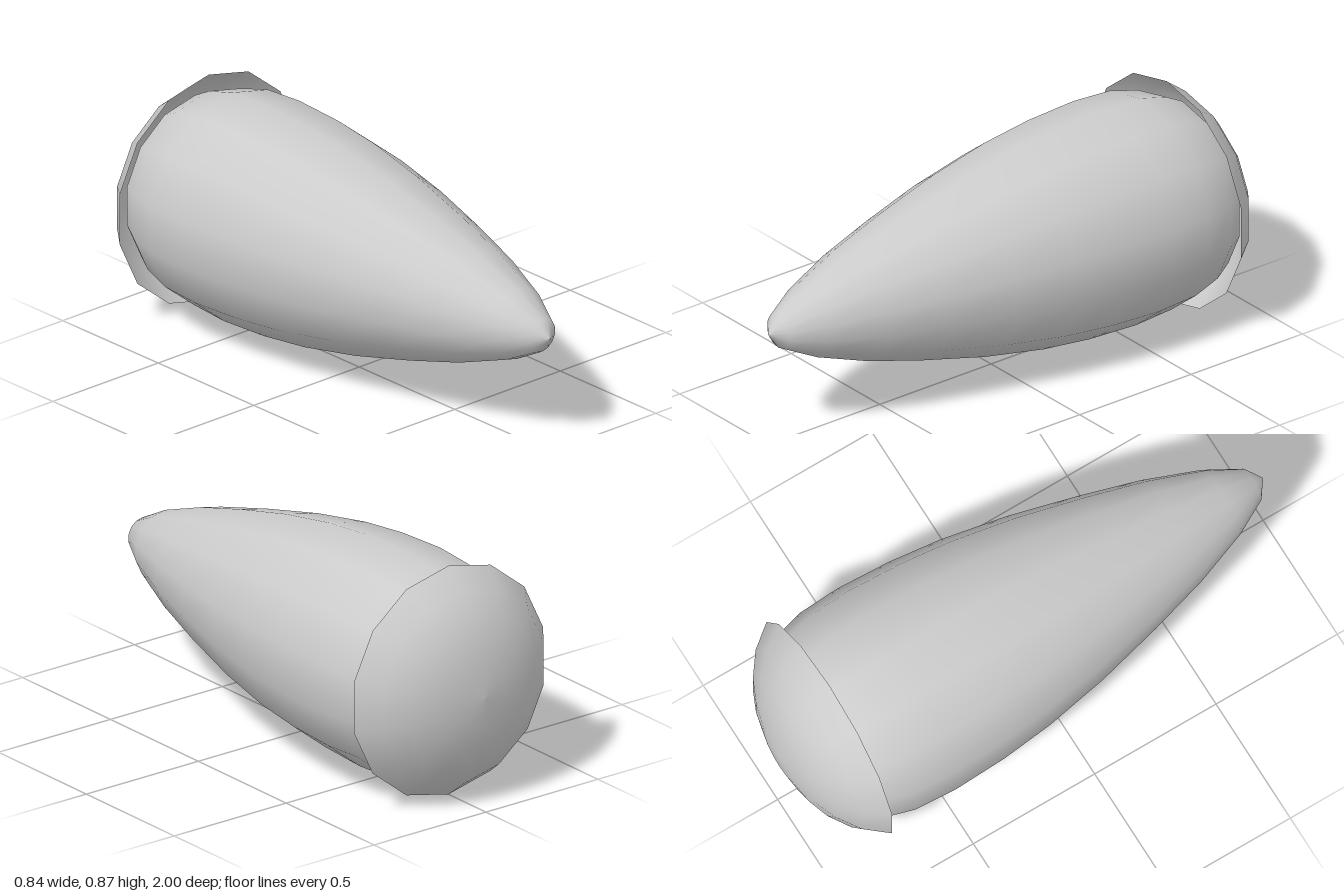
import * as THREE from 'three';

const SIDES = 14;
const AXIS_HEIGHT = 0.435;

// Turns a [z, radius] profile (back to front) around the long axis
function turned(name, profile) {
  const points = profile.map(([z, r]) => new THREE.Vector2(r, z));
  const geometry = new THREE.LatheGeometry(points, SIDES);
  geometry.rotateX(Math.PI / 2);
  const material = new THREE.MeshStandardMaterial({ color: 0xcccccc, side: THREE.DoubleSide });
  const mesh = new THREE.Mesh(geometry, material);
  mesh.name = name;
  mesh.position.y = AXIS_HEIGHT;
  return mesh;
}

export function createModel() {
  const group = new THREE.Group();
  group.name = 'cappedNut';

  // Tapered body, its open back end tucked inside the cap
  group.add(turned('body', [
    [-0.86, 0.33], [-0.787, 0.37], [-0.67, 0.402], [-0.51, 0.411], [-0.305, 0.402],
    [-0.105, 0.38], [0.14, 0.335], [0.395, 0.272], [0.622, 0.208], [0.826, 0.133],
    [0.955, 0.064], [1, 0],
  ]));

  // Thin domed cap, open towards the body
  group.add(turned('cap', [
    [-1, 0], [-0.993, 0.102], [-0.968, 0.203], [-0.931, 0.286], [-0.872, 0.367], [-0.787, 0.433],
  ]));

  return group;
}
